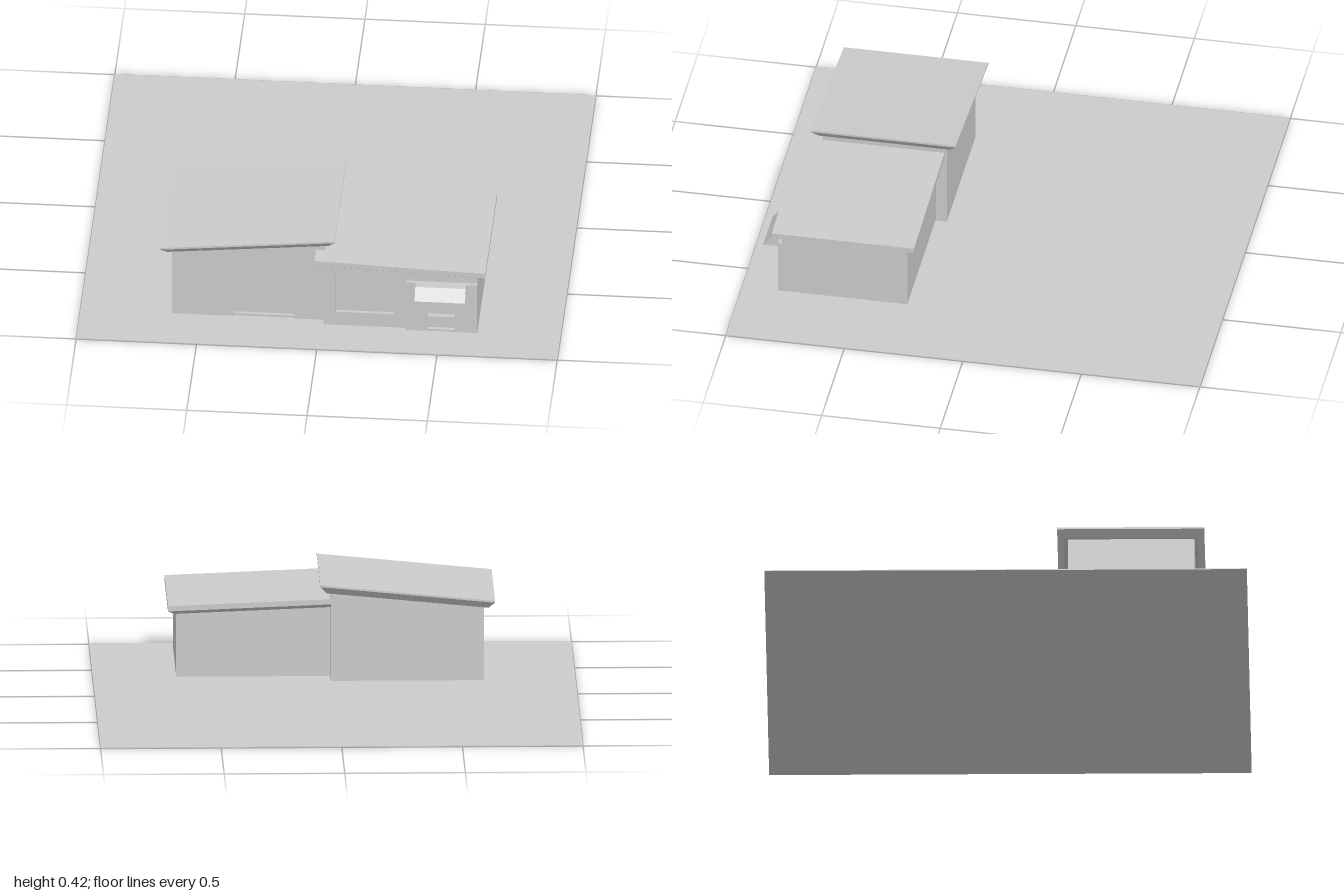
import * as THREE from 'three';

const grey = new THREE.MeshStandardMaterial({ color: 0xcccccc, flatShading: true });

function add(parent, name, geometry, x = 0, y = 0, z = 0) {
  const mesh = new THREE.Mesh(geometry, grey);
  mesh.name = name;
  mesh.position.set(x, y, z);
  parent.add(mesh);
  return mesh;
}

// Box given by its lower and upper corners
function block(parent, name, [x0, y0, z0], [x1, y1, z1]) {
  return add(parent, name, new THREE.BoxGeometry(x1 - x0, y1 - y0, z1 - z0),
    (x0 + x1) / 2, (y0 + y1) / 2, (z0 + z1) / 2);
}

const points = (list) => list.map(([x, y]) => new THREE.Vector2(x, y));
const rect = (x0, y0, x1, y1) => [[x0, y0], [x1, y0], [x1, y1], [x0, y1]];

// Front outline with openings, extruded from z0 to z1
function slab(parent, name, outline, z0, z1, holes = []) {
  const shape = new THREE.Shape(points(outline));
  holes.forEach((h) => shape.holes.push(new THREE.Path(points(h))));
  const geometry = new THREE.ExtrudeGeometry(shape, { depth: z1 - z0, bevelEnabled: false });
  return add(parent, name, geometry, 0, 0, z0);
}

// Sloping roof plate: rectangular rings, each [inset, drop], joined and capped
function roof(parent, name, [x0, x1], [z0, z1], [y0, y1], rings) {
  const position = [];
  const index = [];
  const slope = (y1 - y0) / (x1 - x0);
  for (const [inset, drop] of rings) {
    const a = x0 + inset, b = x1 - inset, c = z0 + inset, d = z1 - inset;
    for (const [x, z] of [[a, d], [b, d], [b, c], [a, c]]) {
      position.push(x, y0 + (x - x0) * slope - drop, z);
    }
  }
  for (let r = 0; r < rings.length - 1; r++) {
    for (let i = 0; i < 4; i++) {
      const p = r * 4 + i, q = r * 4 + (i + 1) % 4;
      index.push(p, p + 4, q, q, p + 4, q + 4);
    }
  }
  const e = (rings.length - 1) * 4;
  index.push(0, 1, 2, 0, 2, 3, e, e + 2, e + 1, e, e + 3, e + 2);
  const indexed = new THREE.BufferGeometry();
  indexed.setAttribute('position', new THREE.Float32BufferAttribute(position, 3));
  indexed.setIndex(index);
  const geometry = indexed.toNonIndexed();
  geometry.computeVertexNormals();
  return add(parent, name, geometry);
}

export function createModel() {
  const model = new THREE.Group();
  model.name = 'building';

  // Ground
  block(model, 'ground', [-1, 0, -1], [1, 0.004, 1]);

  // Tall wing with a recessed door in its front wall
  const tall = new THREE.Group();
  tall.name = 'tallWing';
  model.add(tall);
  slab(tall, 'tallWalls',
    [[-0.62, 0], [0.015, 0], [0.015, 0.4], [-0.62, 0.328]], 0.255, 0.762);
  slab(tall, 'tallFrontWall',
    [[-0.62, 0], [-0.36, 0], [-0.36, 0.245], [-0.11, 0.245], [-0.11, 0],
      [0.015, 0], [0.015, 0.4], [-0.62, 0.328]], 0.762, 0.78);
  block(tall, 'doorSill', [-0.36, 0, 0.762], [-0.11, 0.015, 0.775]);
  roof(tall, 'tallRoof', [-0.665, 0.06], [0.21, 0.82], [0.35, 0.42],
    [[0, 0], [0, 0.008], [0.028, 0.038]]);

  // Low wing with a recessed window
  const low = new THREE.Group();
  low.name = 'lowWing';
  model.add(low);
  const lowOutline = [[0.015, 0.015], [0.655, 0.015], [0.655, 0.295], [0.015, 0.32]];
  slab(low, 'lowWalls', lowOutline, 0.3, 0.815);
  slab(low, 'lowFrontWall', lowOutline, 0.815, 0.83,
    [rect(0.065, 0.08, 0.305, 0.26)]);
  roof(low, 'lowRoof', [-0.02, 0.69], [0.265, 0.865], [0.35, 0.322],
    [[0, 0], [0, 0.022], [0.025, 0.039]]);

  // Serving bay: raised panel, opening, counter and awning
  slab(low, 'servingPanel', rect(0.355, 0.015, 0.655, 0.25), 0.83, 0.845,
    [rect(0.45, 0.025, 0.56, 0.205)]);
  block(low, 'counter', [0.45, 0.087, 0.83], [0.56, 0.093, 0.853]);
  const awning = new THREE.ExtrudeGeometry(
    new THREE.Shape(points([[0.845, 0.205], [0.917, 0.205], [0.875, 0.25], [0.845, 0.25]])),
    { depth: 0.21, bevelEnabled: false });
  add(low, 'awning', awning, 0.61, 0, 0).rotation.y = -Math.PI / 2;

  return model;
}
